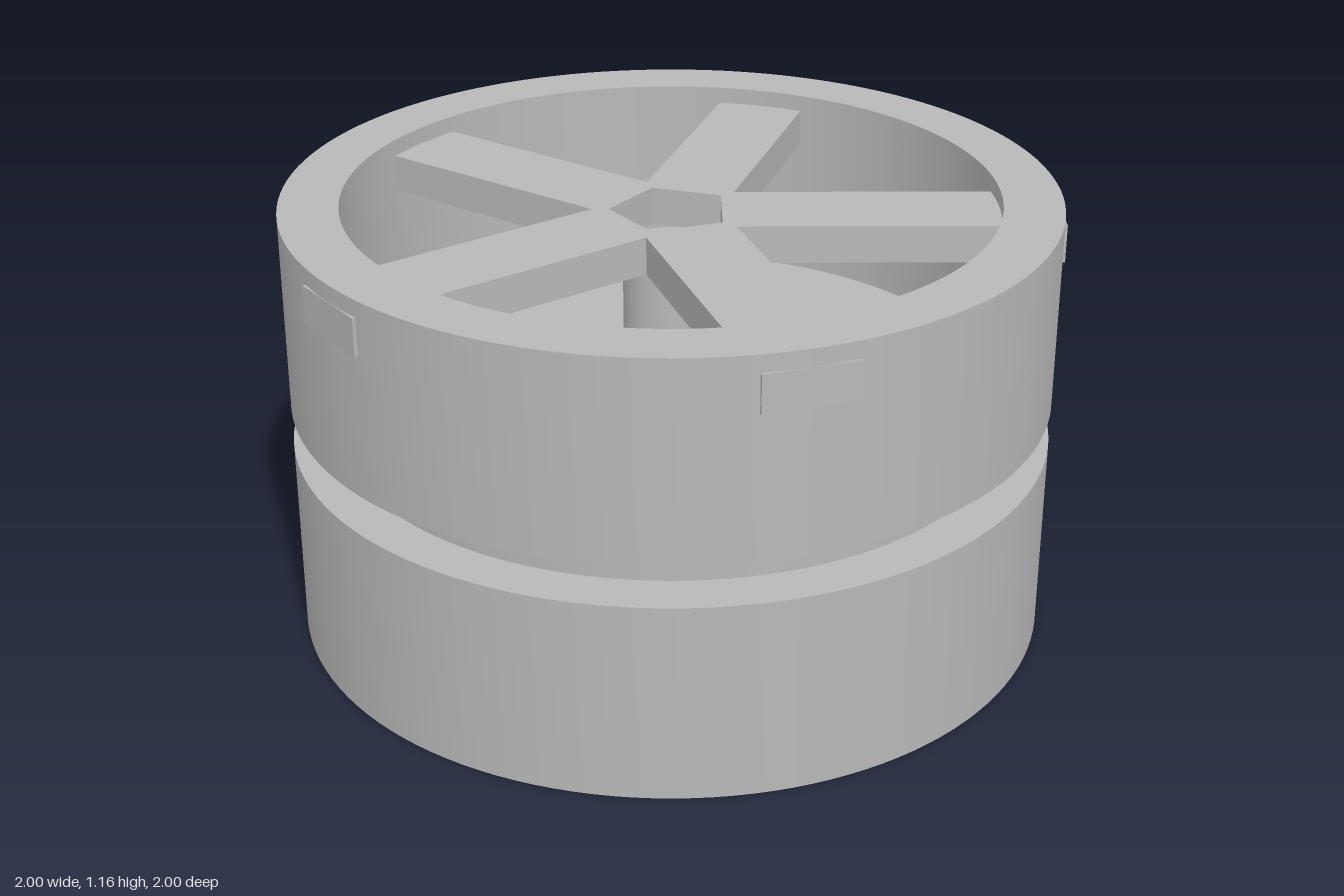
import * as THREE from 'three';
import { toCreasedNormals } from 'three/addons/utils/BufferGeometryUtils.js';

const SPOKES = 5;
const STEP = (Math.PI * 2) / SPOKES;

// Closed (radius, height) profile spun around the axle, with sharp edges kept
function spin(profile, segments) {
  const points = profile.map(([r, y]) => new THREE.Vector2(r, y));
  points.push(points[0].clone());
  return toCreasedNormals(new THREE.LatheGeometry(points, segments), 0.6);
}

// Five straight arms joined around a pentagonal opening
function spokeGeometry() {
  const half = 0.12, reach = 1.001, bottom = 1.02, thickness = 0.1;
  const polar = (r, a) => new THREE.Vector2(r * Math.cos(a), r * Math.sin(a));
  const outline = [], opening = [];
  for (let i = 0; i < SPOKES; i++) {
    const a = i * STEP;
    const corner = Math.hypot(reach, half), spread = Math.atan2(half, reach);
    outline.push(polar(corner, a - spread), polar(corner, a + spread));
    outline.push(polar(half / Math.sin(STEP / 2), a + STEP / 2));
    opening.push(polar(0.13 / Math.cos(STEP / 2), a + STEP / 2));
  }
  const shape = new THREE.Shape(outline);
  shape.holes.push(new THREE.Path(opening));
  const geometry = new THREE.ExtrudeGeometry(shape, { depth: thickness, bevelEnabled: false });
  return geometry.rotateX(-Math.PI / 2).translate(0, bottom, 0);
}

export function createModel() {
  const grey = new THREE.MeshStandardMaterial({ color: 0xb8b8b8 });
  grey.name = 'grey';
  const group = new THREE.Group();
  group.name = 'wheel';

  const add = (name, geometry) => {
    const mesh = new THREE.Mesh(geometry, grey);
    mesh.name = name;
    group.add(mesh);
  };

  // Rim with a groove around the middle and a disc closing the inside
  add('rim', spin([
    [1, 0], [1, 0.53], [0.875, 0.53], [0.875, 0.64], [1, 0.64], [1, 1.165],
    [0.845, 1.165], [0.845, 0.64], [0.1, 0.64], [0.1, 0.52], [0.845, 0.52], [0.845, 0],
  ], 128));

  // Axle tube from below the disc up to the spokes
  add('hub', spin([[0.125, 0.46], [0.125, 1.02], [0.067, 1.02], [0.067, 0.46]], 48));

  // Spokes run through the rim and show as flat pads outside
  add('spokes', spokeGeometry());

  return group;
}
